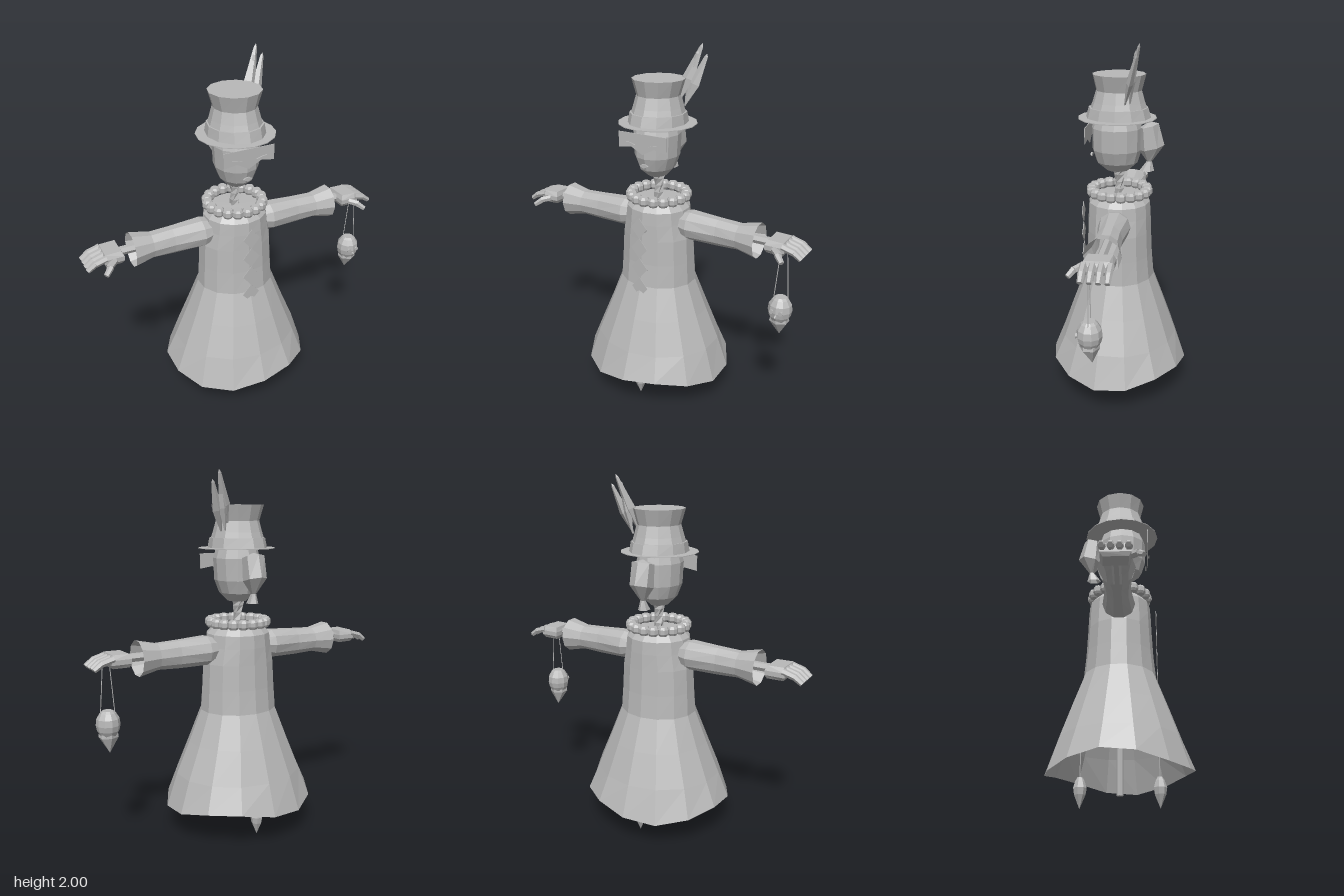
import * as THREE from 'three';

const V = (x, y, z) => new THREE.Vector3(x, y, z);
const clay = new THREE.MeshStandardMaterial({ color: 0xb8b8b8, side: THREE.DoubleSide });
clay.name = 'grey clay';

function part(parent, name, geo) {
  const g = geo.index ? geo.toNonIndexed() : geo;
  g.computeVertexNormals();
  const m = new THREE.Mesh(g, clay);
  m.name = name;
  parent.add(m);
  return m;
}

// Elliptic rings [y, rx, rz, cx, cz], listed bottom to top
function loft(rings, sides, warp) {
  const pos = [], idx = [];
  rings.forEach(([y, rx, rz = rx, cx = 0, cz = 0], i) => {
    for (let j = 0; j < sides; j++) {
      const a = j / sides * Math.PI * 2;
      const p = V(cx + rx * Math.sin(a), y, cz + rz * Math.cos(a));
      if (warp) warp(p, i, a);
      pos.push(p.x, p.y, p.z);
    }
  });
  for (let i = 0; i < rings.length - 1; i++) {
    for (let j = 0; j < sides; j++) {
      const k = (j + 1) % sides, a = i * sides + j, b = i * sides + k;
      idx.push(a, b, b + sides, a, b + sides, a + sides);
    }
  }
  const g = new THREE.BufferGeometry();
  g.setAttribute('position', new THREE.Float32BufferAttribute(pos, 3));
  g.setIndex(idx);
  return g;
}

// Straight rod between two points
function rod(parent, name, a, b, r0, r1 = r0, sides = 6) {
  const d = b.clone().sub(a);
  const m = part(parent, name, new THREE.CylinderGeometry(r1, r0, d.length(), sides));
  m.position.copy(a).addScaledVector(d, 0.5);
  m.quaternion.setFromUnitVectors(V(0, 1, 0), d.normalize());
  return m;
}

// Thin plate from 2D corners
function plate(parent, name, pts, z, depth = 0.004) {
  const s = new THREE.Shape(pts.map(p => new THREE.Vector2(p[0], p[1])));
  const m = part(parent, name, new THREE.ExtrudeGeometry(s, { depth, bevelEnabled: false }));
  m.position.z = z;
  return m;
}

function addArm(root, side) {
  const arm = new THREE.Group();
  arm.name = side > 0 ? 'leftArm' : 'rightArm';
  // Sleeve with flared open cuff
  const sleeve = part(arm, 'sleeve', loft([
    [0.14, 0.06, 0.07, -0.01], [0.21, 0.082, 0.088, -0.005], [0.38, 0.078, 0.068, 0],
    [0.5, 0.072, 0.072, 0], [0.61, 0.097, 0.095, 0],
  ], 10));
  sleeve.rotation.z = -Math.PI / 2;
  sleeve.position.y = 1.05;
  sleeve.geometry.translate(0.008, 0, 0);
  rod(arm, 'wrist', V(0.15, 1.05, 0), V(0.69, 1.05, 0), 0.024);
  // Palm: chamfered block
  const palm = part(arm, 'palm', loft([
    [1.015, 0, 0], [1.015, 0.06, 0.09], [1.035, 0.075, 0.108], [1.06, 0.075, 0.108],
    [1.085, 0.058, 0.09], [1.085, 0, 0],
  ], 4, p => {
    const x = p.x, z = p.z / 1.42;   // turn the diamond rings into rectangles
    p.x = (x + z) * 0.71; p.z = (z - x) * 1.0;
  }));
  palm.position.x = 0.722;
  // Four drooping fingers in two segments
  for (let i = 0; i < 4; i++) {
    const z = -0.063 + i * 0.042;
    rod(arm, 'finger', V(0.76, 1.065, z), V(0.825, 1.047, z), 0.019, 0.018, 6);
    rod(arm, 'fingertip', V(0.82, 1.05, z), V(0.865, 1.018, z), 0.018, 0.014, 6);
  }
  rod(arm, 'thumb', V(0.72, 1.045, 0.07), V(0.765, 1.035, 0.11), 0.018);
  rod(arm, 'thumbTip', V(0.755, 1.037, 0.108), V(0.79, 1.01, 0.135), 0.018, 0.014);
  arm.rotation.y = 0;
  if (side < 0) {
    // mirror the vertices and restore the winding
    arm.children.forEach(m => {
      m.updateMatrix();
      const g = m.geometry.applyMatrix4(m.matrix).scale(-1, 1, 1), p = g.attributes.position;
      for (let t = 0; t < p.count; t += 3) {
        const a = V().fromBufferAttribute(p, t + 1), b = V().fromBufferAttribute(p, t + 2);
        p.setXYZ(t + 1, b.x, b.y, b.z);
        p.setXYZ(t + 2, a.x, a.y, a.z);
      }
      g.computeVertexNormals();
      m.position.set(0, 0, 0);
      m.quaternion.identity();
    });
  }
  root.add(arm);
}

export function createModel() {
  const root = new THREE.Group();
  root.name = 'scarecrow';

  // Robe with a wavy open hem
  part(root, 'robe', loft([
    [0.18, 0.425, 0.39], [0.34, 0.365, 0.33], [0.52, 0.29, 0.265], [0.7, 0.22, 0.197],
    [0.83, 0.212, 0.185], [0.97, 0.205, 0.178], [1.06, 0.187, 0.175], [1.13, 0.178, 0.17],
    [1.165, 0.145, 0.14], [1.17, 0, 0],
  ], 14, (p, i, a) => { if (i === 0) p.y += 0.027 * Math.sin(3 * a + 0.4); }));
  for (let i = 0; i < 4; i++) {
    const y = 1.05 - i * 0.118;
    plate(root, 'diamond', [[0, y - 0.059], [0.05, y], [0, y + 0.059], [-0.05, y]], 0.203, 0.003);
  }
  // Ruff of drum-shaped pleats
  const ruff = new THREE.Group();
  ruff.name = 'ruff';
  for (let i = 0; i < 18; i++) {
    const a = i / 18 * Math.PI * 2;
    part(ruff, 'pleat', loft([[-0.025, 0], [-0.025, 0.022], [-0.012, 0.03], [0.012, 0.03],
      [0.025, 0.022], [0.025, 0]], 8)).position.set(0.153 * Math.sin(a), 1.19, 0.153 * Math.cos(a));
  }
  root.add(ruff);
  addArm(root, 1);
  addArm(root, -1);

  // Twisted neck and support post with hanging feet
  part(root, 'neck', loft([[1.15, 0.03], [1.2, 0.027], [1.24, 0.024], [1.28, 0.03], [1.32, 0.045]],
    5, (p, i) => p.applyAxisAngle(V(0, 1, 0), i * 0.5)));
  rod(root, 'post', V(0, 0.065, 0), V(0, 1.16, 0), 0.018, 0.018, 8);
  for (const s of [1, -1]) {
    rod(root, 'crossbar', V(0, 0.39, 0), V(0, 0.34, s * 0.205), 0.014);
    rod(root, 'footString', V(0, 0.15, s * 0.205), V(0, 0.34, s * 0.205), 0.0025, 0.0025, 4);
    part(root, 'foot', loft([[0, 0], [0.07, 0.03], [0.105, 0.036], [0.14, 0.025], [0.16, 0.014],
      [0.16, 0]], 7)).position.z = s * 0.205;
  }

  // Head, mask and face
  part(root, 'head', loft([
    [1.305, 0, 0, 0, 0.005], [1.305, 0.05, 0.06, 0, 0.01], [1.35, 0.092, 0.112, 0, 0.013],
    [1.42, 0.119, 0.134, 0, 0.014], [1.54, 0.126, 0.136, 0, 0.014], [1.595, 0.11, 0.12, 0, 0.012],
  ], 12));
  plate(root, 'mask', [[-0.145, 1.475], [-0.07, 1.487], [0, 1.45], [0.07, 1.487], [0.145, 1.475],
    [0.147, 1.56], [-0.147, 1.56]], 0.162);
  for (const s of [1, -1]) {
    plate(root, 'eye', [[s * 0.04, 1.5], [s * 0.065, 1.493], [s * 0.1, 1.513], [s * 0.07, 1.51]], 0.169, 0.006);
  }
  plate(root, 'mouth', [[-0.026, 1.386], [0, 1.374], [0.026, 1.386], [0.01, 1.396], [-0.01, 1.396]], 0.148, 0.009);

  // Tied hair at the back
  part(root, 'ponytail', loft([
    [1.305, 0.03, 0.04, 0, -0.15], [1.358, 0.014, 0.014, 0, -0.163], [1.43, 0.062, 0.068, 0, -0.175],
    [1.555, 0.062, 0.052, 0, -0.158], [1.575, 0, 0, 0, -0.158],
  ], 6, (p, i) => { if (i > 1) p.y -= (p.z + 0.16) * 0.25; }));

  // Top hat
  part(root, 'hatBrim', new THREE.CylinderGeometry(0.212, 0.212, 0.004, 16)).position.set(0, 1.594, 0.012);
  part(root, 'hatBand', loft([[1.594, 0.158, 0.176, 0, 0.006], [1.65, 0.15, 0.16, 0, 0.006],
    [1.65, 0.135, 0.145, 0, 0.006]], 12));
  part(root, 'hatCrown', loft([[1.63, 0.148, 0.158, 0, 0.005], [1.68, 0.133, 0.14, 0, 0.004],
    [1.74, 0.117, 0.122, 0, 0.003], [1.825, 0.143, 0.143, 0, 0.002], [1.825, 0, 0, 0, 0.002]], 12));

  // Feathers: [base, tip, half width]
  [[V(0.085, 1.69, -0.045), V(0.187, 2.0, -0.125), 0.034],
    [V(0.13, 1.685, -0.045), V(0.22, 1.95, -0.115), 0.03],
    [V(0.12, 1.69, -0.07), V(0.17, 1.965, -0.105), 0.026]].forEach(([a, b, w]) => {
    const d = b.clone().sub(a), L = d.length();
    const f = part(root, 'feather', loft([[0, 0.004], [L * 0.42, w, w * 0.6], [L * 0.94, 0.01, 0.007], [L, 0]], 4));
    f.position.copy(a);
    f.quaternion.setFromUnitVectors(V(0, 1, 0), d.normalize());
  });

  // Hanging charm with a small face
  const charm = new THREE.Group();
  charm.name = 'charm';
  part(charm, 'charmHead', loft([[0.64, 0], [0.64, 0.042], [0.67, 0.058], [0.7, 0.064], [0.735, 0.06],
    [0.765, 0.042], [0.776, 0.03], [0.776, 0]], 10));
  part(charm, 'charmBeard', loft([[0.55, 0, 0, 0, -0.012], [0.635, 0.054, 0.05], [0.655, 0.05, 0.05], [0.655, 0]], 6));
  for (const s of [1, -1]) {
    const eye = part(charm, 'charmEye', new THREE.CylinderGeometry(0.012, 0.012, 0.009, 8));
    eye.rotation.x = Math.PI / 2;
    eye.position.set(s * 0.025, 0.708, 0.059);
    rod(charm, 'charmString', V(s * 0.04, 0.75, 0), V(s * 0.018, 1.035, 0), 0.0025, 0.0025, 4);
  }
  rod(charm, 'charmNose', V(0, 0.69, 0.055), V(0, 0.68, 0.072), 0.01, 0.003, 5);
  charm.position.set(0.765, 0, 0.04);
  root.add(charm);
  return root;
}
